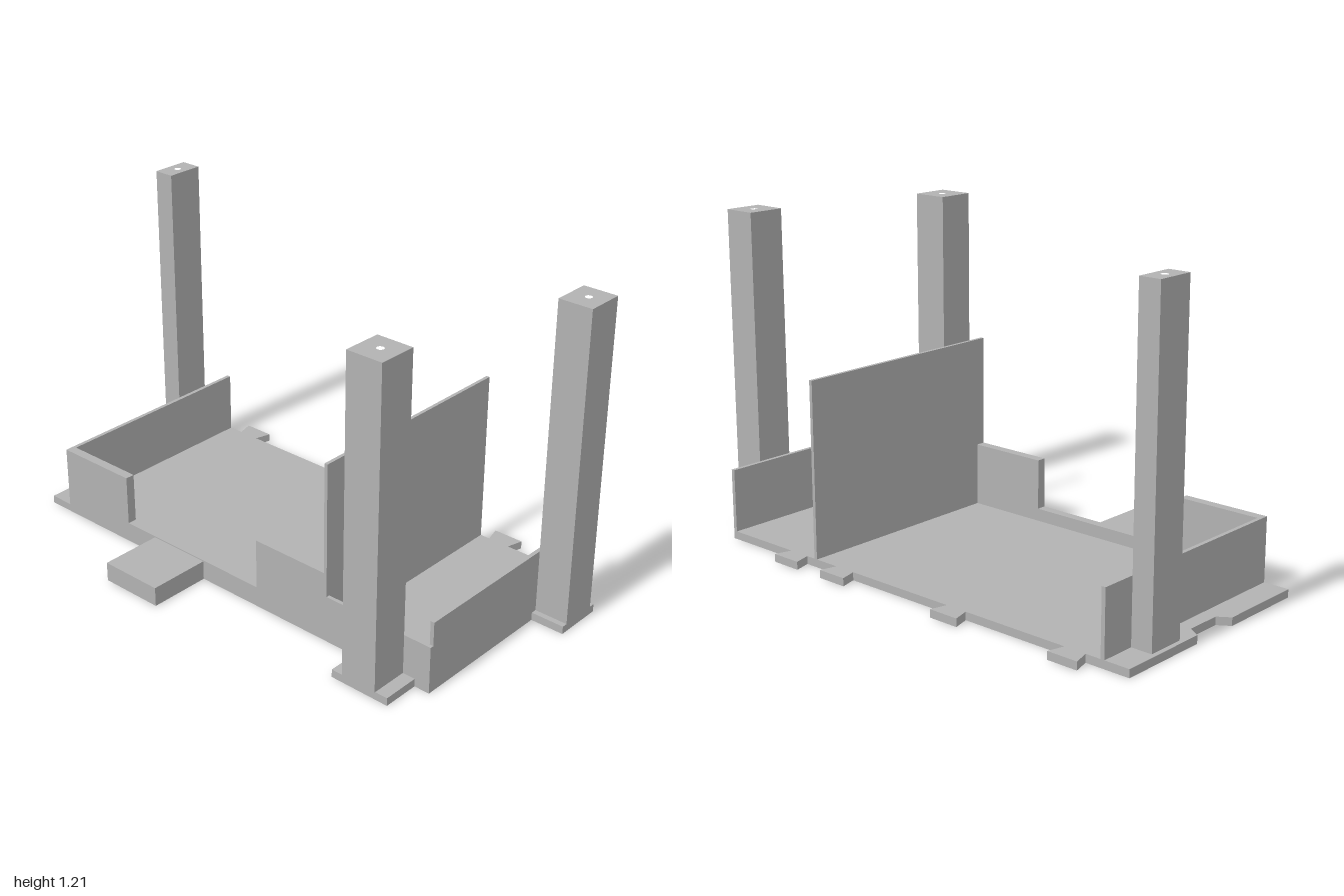
import * as THREE from 'three';

const grey = new THREE.MeshStandardMaterial({ color: 0xb2b2b2 });
grey.name = 'plain grey';

// Slab from a plan outline of [x, z] points, with round holes [x, z, radius]
function slab(name, outline, holes, y0, y1) {
  const shape = new THREE.Shape(outline.map(([x, z]) => new THREE.Vector2(x, -z)));
  for (const [x, z, r] of holes) {
    const hole = new THREE.Path();
    hole.absarc(x, -z, r, 0, Math.PI * 2, true);
    shape.holes.push(hole);
  }
  const geo = new THREE.ExtrudeGeometry(shape, { depth: y1 - y0, bevelEnabled: false, curveSegments: 16 });
  geo.rotateX(-Math.PI / 2).translate(0, y0, 0);
  const mesh = new THREE.Mesh(geo, grey);
  mesh.name = name;
  return mesh;
}

// Box given by its limits
function block(name, x0, x1, y0, y1, z0, z1) {
  const mesh = new THREE.Mesh(new THREE.BoxGeometry(x1 - x0, y1 - y0, z1 - z0), grey);
  mesh.position.set((x0 + x1) / 2, (y0 + y1) / 2, (z0 + z1) / 2);
  mesh.name = name;
  return mesh;
}

export function createModel() {
  const model = new THREE.Group();
  model.name = 'trayWithPosts';
  const T = 0.03, BACK = -0.532, FRONT = 0.35;

  // Base plate outline: dovetail tabs along the back, feet, tray foot, side notch
  const outline = [[-1, BACK]];
  for (const x of [-0.785, -0.275, 0.265, 0.505]) {
    outline.push([x - 0.043, BACK], [x - 0.06, -0.595], [x + 0.06, -0.595], [x + 0.043, BACK]);
  }
  outline.push(
    [0.87, BACK], [0.87, -0.418], [1, -0.418], [1, -0.228], [0.87, -0.228], [0.87, FRONT],
    [0.81, FRONT], [0.81, 0.493], [0.573, 0.493], [0.573, FRONT],
    [-0.17, FRONT], [-0.17, 0.59], [-0.422, 0.59], [-0.422, FRONT],
    [-1, FRONT], [-1, 0.015], [-0.955, -0.015], [-0.955, -0.152], [-1, -0.18]
  );
  const postHoles = [[-0.942, -0.325, 0.013], [0.935, -0.325, 0.013], [0.69, 0.42, 0.013]];
  const blindHoles = [[-0.295, 0.47, 0.013], [0.64, -0.47, 0.007], [-0.64, -0.47, 0.007]];
  model.add(slab('basePlateUnderside', outline, [...postHoles, ...blindHoles], 0, T / 2));
  model.add(slab('basePlate', outline, postHoles, T / 2, T));

  // Tall posts with a bore down the middle
  const posts = [
    ['rightPost', -0.983, -0.902, -0.398, -0.252],
    ['leftPost', 0.87, 1, -0.395, -0.25],
    ['frontPost', 0.62, 0.76, FRONT, 0.496],
  ];
  posts.forEach(([name, x0, x1, z0, z1], i) => {
    model.add(slab(name, [[x0, z0], [x1, z0], [x1, z1], [x0, z1]], [postHoles[i]], T, 1.213));
  });

  // Side walls and tall divider
  model.add(block('rightWall', -0.902, -0.887, T, 0.27, BACK, FRONT));
  model.add(block('leftWall', 0.855, 0.87, T, 0.27, BACK, 0.336));
  model.add(block('divider', 0.41, 0.423, T, 0.69, BACK, FRONT));

  // Front wall, dropping low in the middle
  model.add(block('frontWallRight', -0.887, -0.565, T, 0.27, 0.314, FRONT));
  model.add(block('frontWallLow', -0.565, 0.096, T, 0.078, 0.314, FRONT));
  model.add(block('frontWallLeft', 0.096, 0.41, T, 0.27, 0.314, FRONT));
  model.add(block('frontWallThin', 0.423, 0.87, T, 0.18, 0.336, FRONT));

  // Raised block on the front foot
  model.add(block('frontLedge', -0.422, -0.17, T, 0.074, FRONT, 0.59));
  return model;
}
